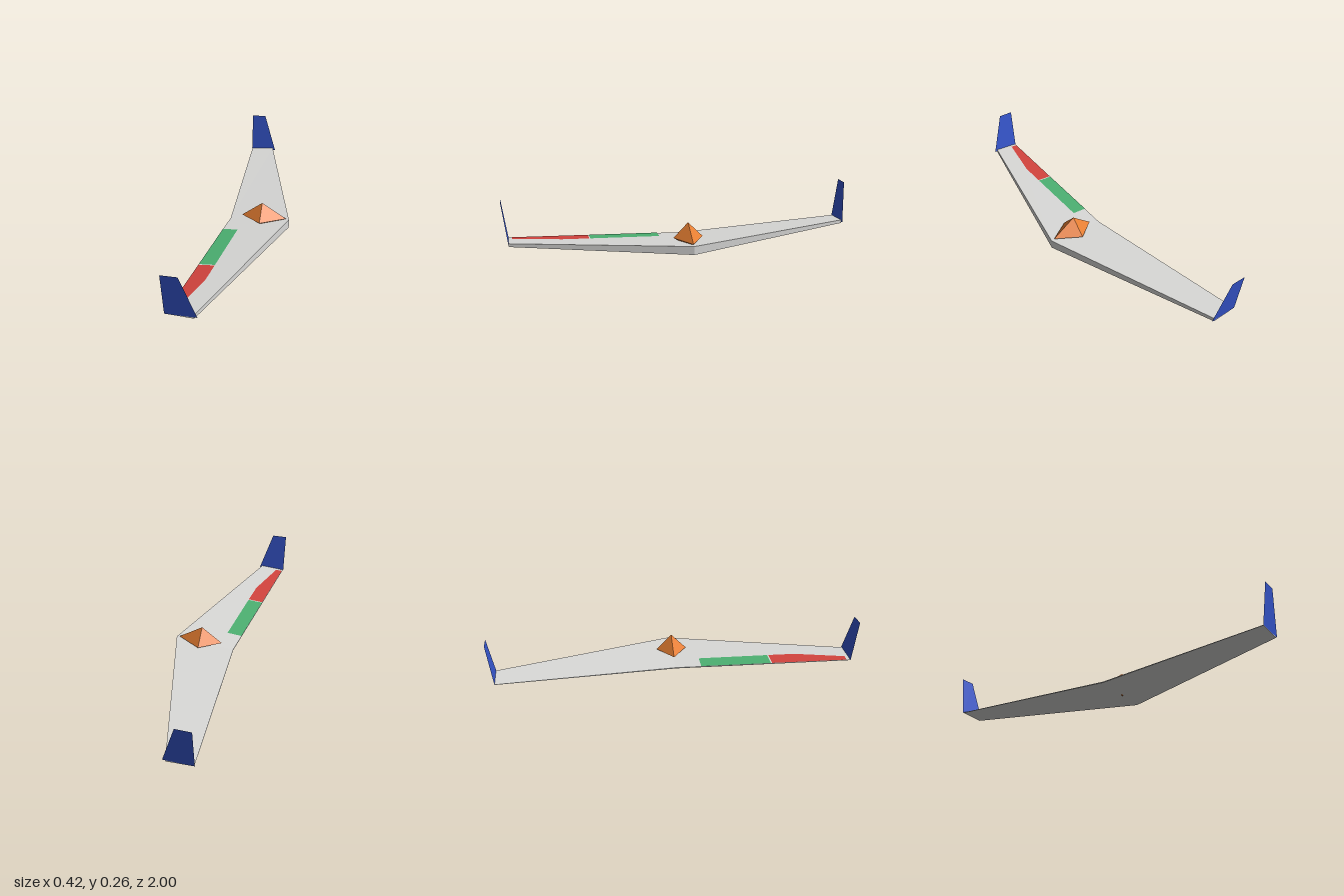
import * as THREE from 'three';

const mat = (name, color, side = THREE.FrontSide) =>
  new THREE.MeshStandardMaterial({ name, color, flatShading: true, side });

// Flat-faced geometry from points and polygon faces (fan triangulated)
function polyhedron(points, faces) {
  const pos = [];
  for (const f of faces)
    for (let i = 1; i < f.length - 1; i++)
      pos.push(...points[f[0]], ...points[f[i]], ...points[f[i + 1]]);
  const g = new THREE.BufferGeometry();
  g.setAttribute('position', new THREE.Float32BufferAttribute(pos, 3));
  g.computeVertexNormals();
  return g;
}

// Height of the planar upper skin on the +z half
const skinY = (x, z) => 0.05 + 0.0749 * (x - 0.207) + 0.0212 * z;

export function createModel() {
  const model = new THREE.Group();
  model.name = 'flyingWing';
  const wingGrey = mat('wingGrey', 0xd8d8d6);
  const finBlue = mat('finBlue', 0x3555cc, THREE.DoubleSide);
  const canopyOrange = mat('canopyOrange', 0xe67e32);
  const flapGreen = mat('flapGreen', 0x4cb071);
  const aileronRed = mat('aileronRed', 0xd2433d);

  const add = (name, geometry, material) => {
    const m = new THREE.Mesh(geometry, material);
    m.name = name;
    model.add(m);
    return m;
  };

  // Swept wing: wedge sections at tip, root, tip
  const root = [[0.207, 0.002], [0.207, 0.05], [-0.127, 0.025], [-0.127, 0.02]];
  const tip = [[-0.066, 0.031], [-0.066, 0.05], [-0.205, 0.04], [-0.205, 0.038]];
  const points = [[tip, -0.97], [root, 0], [tip, 0.97]]
    .flatMap(([section, z]) => section.map(([x, y]) => [x, y, z]));
  const faces = [[3, 2, 1, 0], [8, 9, 10, 11]];
  for (let s = 0; s < 2; s++)
    for (let j = 0; j < 4; j++) {
      const k = (j + 1) % 4, a = s * 4;
      faces.push([a + j, a + k, a + 4 + k, a + 4 + j]);
    }
  add('wing', polyhedron(points, faces), wingGrey);

  // Tip fins: thin sheets leaning outward
  for (const s of [-1, 1]) {
    const fin = [[-0.208, 0.038, 0.97 * s], [-0.05, 0.038, 0.97 * s],
      [-0.124, 0.265, s], [-0.208, 0.265, s]];
    add(s > 0 ? 'frontFin' : 'rearFin', polyhedron(fin, [[0, 1, 2, 3]]), finBlue);
  }

  // Canopy: stretched octahedron set into the wing
  const ring = [[0.19, 0.055, 0], [0.055, 0.055, -0.083], [-0.06, 0.055, 0], [0.055, 0.055, 0.083]];
  const canopyFaces = [];
  for (let i = 0; i < 4; i++) {
    const k = (i + 1) % 4;
    canopyFaces.push([i, k, 4], [k, i, 5]);
  }
  add('canopy', polyhedron([...ring, [0.055, 0.14, 0], [0.055, 0.006, 0]], canopyFaces), canopyOrange);

  // Control surfaces: thin panels following the upper skin, outlines in (x, z)
  const panel = (name, outline, material) => {
    const shape = new THREE.Shape(outline.map(([x, z]) => new THREE.Vector2(x, -z)));
    const g = new THREE.ShapeGeometry(shape).rotateX(-Math.PI / 2);
    const p = g.attributes.position;
    for (let i = 0; i < p.count; i++) p.setY(i, skinY(p.getX(i), p.getZ(i)) + 0.002);
    g.computeVertexNormals();
    add(name, g, material);
  };
  panel('flap', [[-0.138, 0.14], [-0.055, 0.14], [-0.083, 0.526], [-0.168, 0.526]], flapGreen);
  panel('aileron', [[-0.168, 0.532], [-0.083, 0.532], [-0.095, 0.68], [-0.165, 0.95], [-0.202, 0.95]], aileronRed);

  return model;
}
